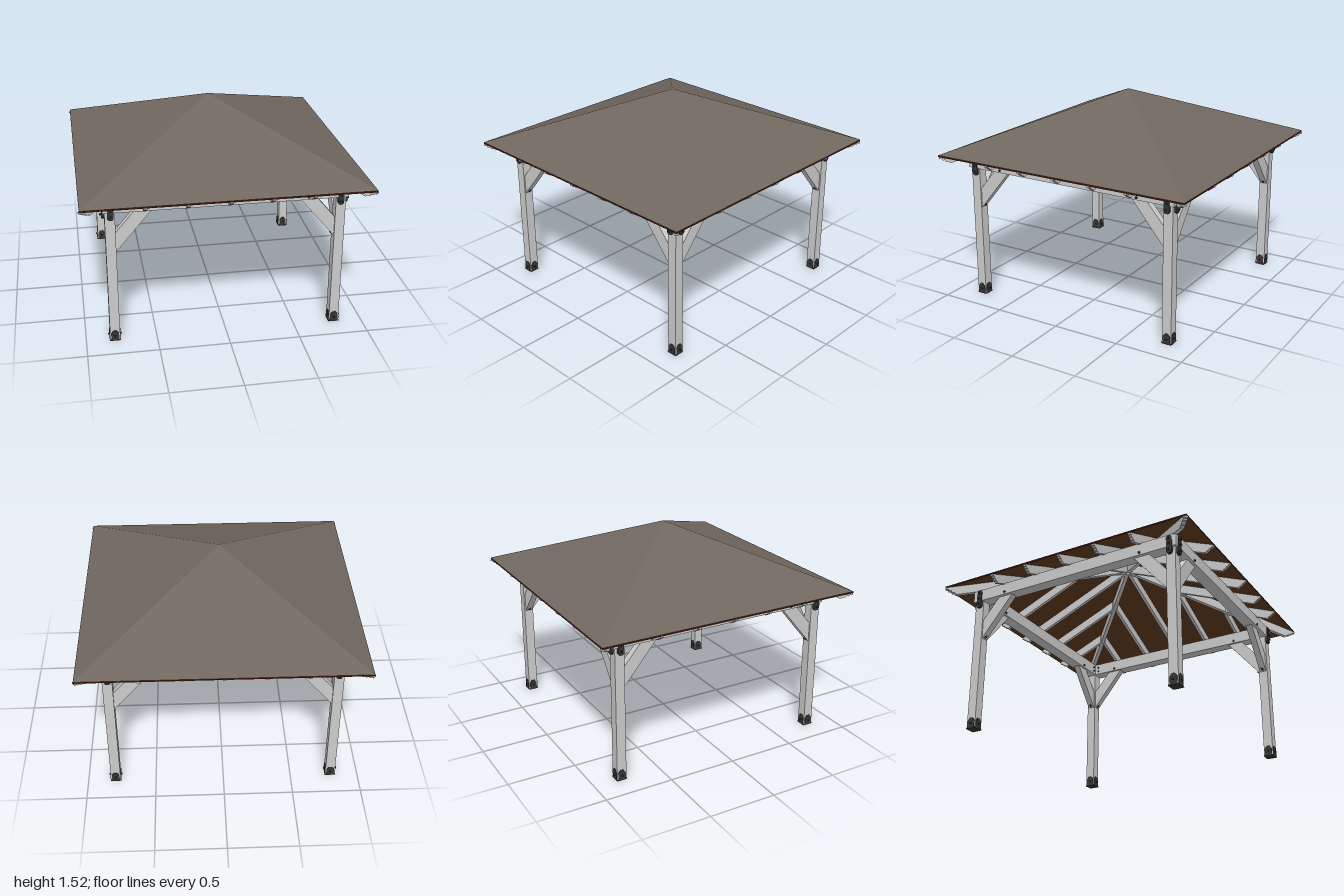
import * as THREE from 'three';

const EAVE = 1.09, RISE = 0.42;          // underside of the roof at the eaves, roof height
const POST = 0.797, BEAM = 0.8;          // centre lines of posts and beams

const wood = new THREE.MeshStandardMaterial({ color: 0xcccccc });
const steel = new THREE.MeshStandardMaterial({ color: 0x353535 });
const shingle = new THREE.MeshStandardMaterial({ color: 0x70675f, flatShading: true });
const trim = new THREE.MeshStandardMaterial({ color: 0x45180f, flatShading: true });
const lining = new THREE.MeshStandardMaterial({ color: 0x5e3a1c, flatShading: true, side: THREE.DoubleSide });

function add(parent, name, geometry, material, x = 0, y = 0, z = 0) {
  const mesh = new THREE.Mesh(geometry, material);
  mesh.name = name;
  mesh.position.set(x, y, z);
  parent.add(mesh);
  return mesh;
}

// Flat outline extruded along z, centred on z = 0
function slab(points, depth) {
  const shape = new THREE.Shape(points.map(([x, y]) => new THREE.Vector2(x, y)));
  return new THREE.ExtrudeGeometry(shape, { depth, bevelEnabled: false }).translate(0, 0, -depth / 2);
}

// Hexagonal bolt lying along z
function bolt(parent, x, y, z, length = 0.012, radius = 0.008) {
  return add(parent, 'bolt', new THREE.CylinderGeometry(radius, radius, length, 6).rotateX(Math.PI / 2), steel, x, y, z);
}

// Rafter running along +x with a stepped tail; stretch lengthens it for the hips
function rafterGeometry(inner, width, stretch = 1) {
  const top = d => EAVE + (1 - d) * RISE;
  const points = [
    [inner, top(inner) - 0.072], [0.925, top(0.925) - 0.072], [0.94, 1.044], [0.948, 1.056],
    [0.962, 1.056], [0.968, 1.069], [0.98, 1.069], [0.985, 1.08], [0.997, 1.08],
    [0.997, top(0.997)], [inner, top(inner)],
  ];
  return slab(points.map(([d, y]) => [d * stretch, y]), width);
}

function createRoof() {
  const roof = new THREE.Group();
  roof.name = 'roof';
  const pyramid = h => new THREE.ConeGeometry(Math.SQRT2, h, 4, 1, true).rotateY(Math.PI / 4);
  add(roof, 'roofShingles', pyramid(0.416), shingle, 0, 1.104 + 0.208, 0);
  add(roof, 'roofLining', pyramid(RISE), lining, 0, EAVE + 0.002 + RISE / 2, 0);
  const edge = new THREE.CylinderGeometry(Math.SQRT2, Math.SQRT2, 0.012, 4, 1, true).rotateY(Math.PI / 4);
  add(roof, 'eaveTrim', edge, trim, 0, 1.098, 0);
  return roof;
}

// Post with its steel shoe, at the +x +z corner, plus the hip rafter above
function createCorner() {
  const corner = new THREE.Group();
  corner.name = 'corner';
  const post = new THREE.Group();
  post.name = 'post';
  post.position.set(POST, 0, POST);
  corner.add(post);
  add(post, 'postTimber', new THREE.BoxGeometry(0.07, 1.0, 0.07), wood, 0, 0.504, 0);
  add(post, 'basePlate', new THREE.BoxGeometry(0.076, 0.008, 0.076), steel, 0, 0.004, 0);
  const tab = slab([[-0.028, 0], [0.028, 0], [0.028, 0.058], [0.012, 0.08], [-0.012, 0.08], [-0.028, 0.058]], 0.006);
  for (let i = 0; i < 4; i++) {
    const side = new THREE.Group();
    side.name = 'shoeSide';
    side.rotation.y = i * Math.PI / 2;
    add(side, 'shoePlate', tab, steel, 0, 0, 0.036);
    bolt(side, 0, 0.037, 0.043, 0.01, 0.007);
    post.add(side);
  }
  const hip = add(corner, 'hipRafter', rafterGeometry(0.01, 0.03, Math.SQRT2), wood);
  hip.rotation.y = -Math.PI / 4;
  return corner;
}

// One side of the frame, facing +z: beam, braces, rafters and fixings
function createSide() {
  const side = new THREE.Group();
  side.name = 'side';
  add(side, 'beam', new THREE.BoxGeometry(1.6, 0.09, 0.09), wood, -0.045, 1.045, BEAM);

  const strap = slab([[-0.011, 0.947], [0.011, 0.947], [0.021, 0.96], [0.021, 1.072],
    [0.011, 1.085], [-0.011, 1.085], [-0.021, 1.072], [-0.021, 0.96]], 0.02);
  for (const s of [-1, 1]) {
    // Knee brace between post and beam
    const outline = [[0.765, 0.695], [0.765, 0.84], [0.63, 1.0], [0.51, 1.0]].map(([x, y]) => [s * x, y]);
    add(side, 'brace', slab(outline, 0.05), wood, 0, 0, POST);
    const foot = add(side, 'braceBolt', new THREE.CylinderGeometry(0.007, 0.007, 0.02, 6), steel, s * 0.748, 0.713, POST);
    foot.rotation.z = s * 0.87;
    bolt(side, s * 0.565, 1.018, BEAM, 0.106, 0.009);

    // Strap tying beam to post
    add(side, 'strap', strap, steel, s * 0.793, 0, 0.841);
    for (const y of [0.975, 1.02, 1.06]) bolt(side, s * 0.793, y, 0.857);
    // Bolt ends on the inner face of the beam
    for (const y of [1.025, 1.06]) bolt(side, s * 0.725, y, 0.753);
  }

  // Common rafter in the middle, shorter jack rafters towards the hips
  for (let i = -2; i <= 2; i++) {
    const x = i * 0.285;
    const geometry = rafterGeometry(Math.abs(x) + 0.02, 0.024).rotateY(-Math.PI / 2);
    add(side, i === 0 ? 'commonRafter' : 'jackRafter', geometry, wood, x, 0, 0);
  }
  return side;
}

export function createModel() {
  const model = new THREE.Group();
  model.name = 'pavilion';
  model.add(createRoof());
  for (let i = 0; i < 4; i++) {
    const quarter = new THREE.Group();
    quarter.name = 'frameQuarter';
    quarter.rotation.y = i * Math.PI / 2;
    quarter.add(createCorner(), createSide());
    model.add(quarter);
  }
  return model;
}
